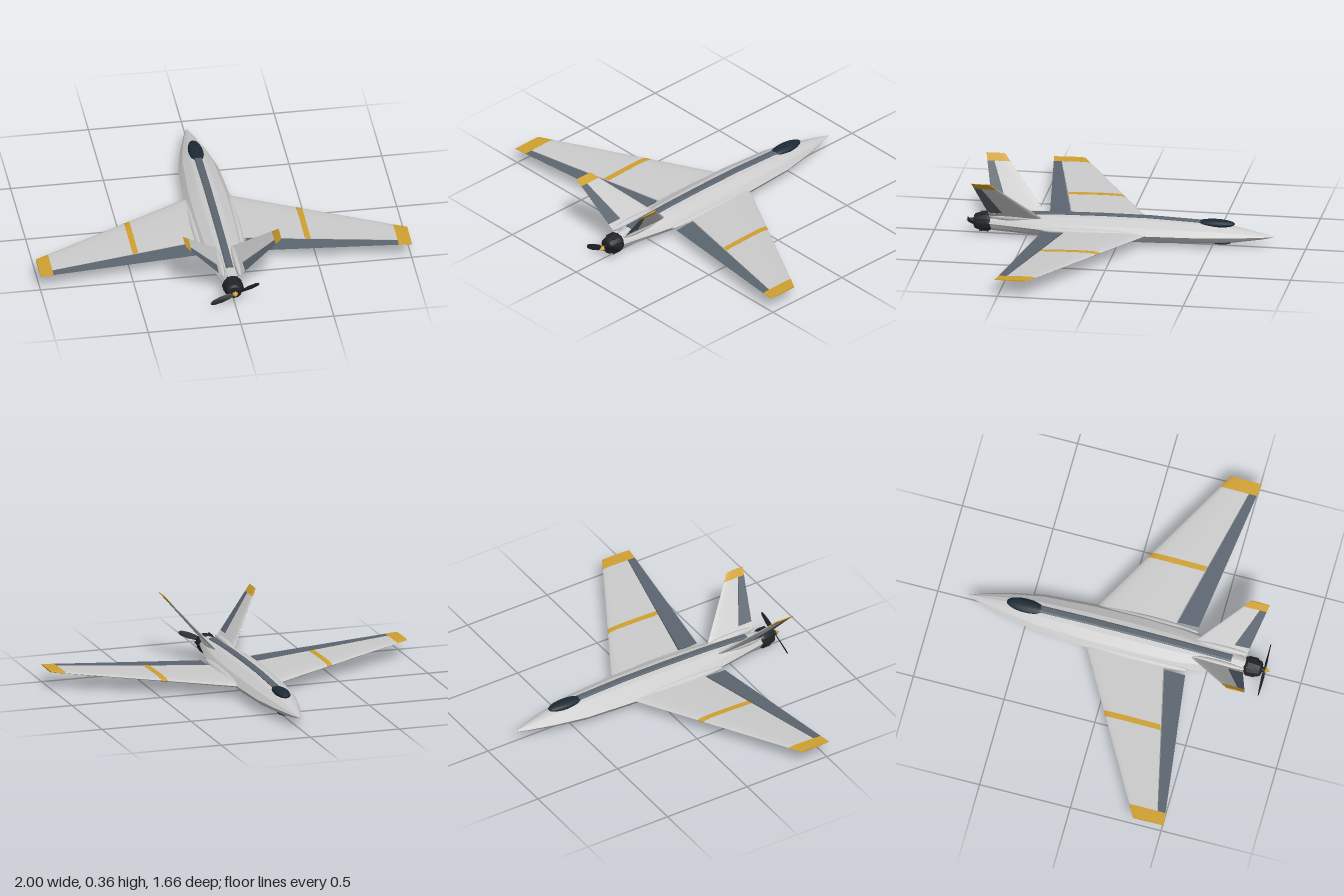
import * as THREE from 'three';
import { toCreasedNormals } from 'three/addons/utils/BufferGeometryUtils.js';

const mat = (color) => new THREE.MeshStandardMaterial({ color });
const GREY = mat(0xcccccc), SLATE = mat(0x5c6670), GOLD = mat(0xd0a030);
const DARK = mat(0x202326), GLASS = mat(0x1c2a36);

// Skin a list of closed rings, cap both ends, and turn all faces outward
function loft(rings, crease = 0.3) {
  const n = rings[0].length, pos = [], tri = (a, b, c) => pos.push([a, b, c]);
  for (let i = 0; i < rings.length - 1; i++) {
    for (let j = 0; j < n; j++) {
      const k = (j + 1) % n, A = rings[i], B = rings[i + 1];
      tri(A[j], A[k], B[k]);
      tri(A[j], B[k], B[j]);
    }
  }
  const cap = (ring, flip) => {
    const c = ring.reduce((s, p) => s.add(p), new THREE.Vector3()).divideScalar(n);
    ring.forEach((p, j) => {
      const q = ring[(j + 1) % n];
      flip ? tri(c, q, p) : tri(c, p, q);
    });
  };
  cap(rings[0], true);
  cap(rings[rings.length - 1], false);
  const volume = pos.reduce((s, [a, b, c]) => s + a.dot(b.clone().cross(c)), 0);
  const flat = pos.flatMap(([a, b, c]) => (volume < 0 ? [a, c, b] : [a, b, c]).flatMap((p) => p.toArray()));
  const geo = new THREE.BufferGeometry();
  geo.setAttribute('position', new THREE.Float32BufferAttribute(flat, 3));
  geo.computeVertexNormals();
  return toCreasedNormals(geo, crease);
}

function add(parent, name, geo, material) {
  const mesh = new THREE.Mesh(geo, material);
  mesh.name = name;
  parent.add(mesh);
  return mesh;
}

function ellipsoid(parent, name, material, size, at, sides = 12) {
  const mesh = add(parent, name, new THREE.SphereGeometry(1, sides, 10).rotateX(Math.PI / 2), material);
  mesh.scale.set(...size);
  mesh.position.set(...at);
  return mesh;
}

// Piece of a tapered surface: span fractions s0..s1, chord fractions c0..c1
function panel(w, side, s0, s1, c0, c1, puff = 0) {
  const lerp = THREE.MathUtils.lerp, N = 8;
  const dx = w.tip.x - w.root.x, dy = w.tip.y - w.root.y, len = Math.hypot(dx, dy);
  const ring = (s) => {
    const g = (key) => lerp(w.root[key], w.tip[key], s);
    const point = (c, up) => {
      const profile = 2.6 * (Math.sqrt(c) - c) * (1 - 0.25 * c) + 0.1 * (1 - c) * Math.sqrt(c) + 0.04;
      const h = up * (g('thick') / 2 * profile + puff);
      return new THREE.Vector3(side * (g('x') - dy / len * h), g('y') + dx / len * h, lerp(g('le'), g('te'), c));
    };
    const cs = Array.from({ length: N + 1 }, (_, i) => lerp(c0, c1, c0 === 0 ? (i / N) ** 1.7 : i / N));
    return [...cs.map((c) => point(c, 1)), ...cs.reverse().map((c) => point(c, -1))];
  };
  return loft([ring(s0), ring(s1)], 0.5);
}

const WING = {
  root: { x: 0.1, y: 0.068, le: -0.16, te: 0.395, thick: 0.042 },
  tip: { x: 1, y: 0.095, le: 0.345, te: 0.515, thick: 0.01 },
};
const TAIL = {
  root: { x: 0.042, y: 0.105, le: 0.4, te: 0.69, thick: 0.02 },
  tip: { x: 0.256, y: 0.363, le: 0.66, te: 0.76, thick: 0.008 },
};

export function createModel() {
  const model = new THREE.Group();
  model.name = 'aircraft';

  // Fuselage stations: z, half width, chine height, top, bottom
  const stations = [
    [-0.83, 0.002, 0.062, 0.064, 0.06], [-0.76, 0.028, 0.063, 0.08, 0.045],
    [-0.62, 0.068, 0.066, 0.108, 0.024], [-0.44, 0.106, 0.069, 0.131, 0.01],
    [-0.16, 0.125, 0.07, 0.141, 0.002], [0.1, 0.128, 0.07, 0.14, 0.002],
    [0.34, 0.118, 0.07, 0.135, 0.007], [0.52, 0.085, 0.07, 0.127, 0.013], [0.71, 0.045, 0.068, 0.113, 0.021],
  ];
  const half = [[1, 0], [0.78, 0.5], [0.38, 0.88], [0, 1], [-0.38, 0.88], [-0.78, 0.5]];
  const section = [...half, ...half.map(([x, y]) => [-x, -y])];
  add(model, 'fuselage', loft(stations.map(([z, w, mid, top, bottom]) => section.map(([x, y]) =>
    new THREE.Vector3(x * w, mid + y * (y > 0 ? top - mid : mid - bottom), z)))), GREY);

  // Dark strip along the back
  const spine = [[-0.44, 0.135], [-0.16, 0.145], [0.1, 0.144], [0.34, 0.139], [0.62, 0.125]];
  add(model, 'spineStrip', loft(spine.map(([z, y]) => [[0.02, -0.02], [0.02, -0.004], [0.012, 0], [-0.012, 0],
    [-0.02, -0.004], [-0.02, -0.02]].map(([x, h]) => new THREE.Vector3(x, y + h, z)))), SLATE);

  ellipsoid(model, 'canopy', GLASS, [0.04, 0.021, 0.105], [0, 0.123, -0.515]);
  ellipsoid(model, 'bellySensor', GLASS, [0.03, 0.012, 0.055], [0, 0.02, -0.545]);

  for (const side of [1, -1]) {
    const label = side > 0 ? 'left' : 'right';
    const wing = new THREE.Group();
    wing.name = label + 'Wing';
    const tipStart = 0.922, flapStart = 0.045;
    add(wing, 'wingRoot', panel(WING, side, 0, flapStart - 0.004, 0, 0.78), GREY);
    add(wing, 'wingSkin', panel(WING, side, flapStart - 0.004, tipStart, 0, 0.775), GREY);
    add(wing, 'flap', panel(WING, side, flapStart, tipStart, 0.787, 1), SLATE);
    add(wing, 'wingTip', panel(WING, side, tipStart, 1, 0, 1, 0.0005), GOLD);
    add(wing, 'wingBand', panel(WING, side, 0.388, 0.422, 0, 0.772, 0.001), GOLD);
    ellipsoid(wing, 'wingFillet', GREY, [0.026, 0.022, 0.29], [side * 0.11, 0.07, 0.12]);
    model.add(wing);

    const tail = new THREE.Group();
    tail.name = label + 'TailFin';
    add(tail, 'finBase', panel(TAIL, side, -0.06, 0.13, 0, 1), GREY);
    add(tail, 'finSkin', panel(TAIL, side, 0.13, 0.865, 0, 0.685), GREY);
    add(tail, 'rudder', panel(TAIL, side, 0.135, 0.865, 0.7, 1), SLATE);
    add(tail, 'finTip', panel(TAIL, side, 0.865, 1, 0, 1, 0.0005), GOLD);
    ellipsoid(tail, 'finFillet', GREY, [0.018, 0.022, 0.15], [side * 0.044, 0.112, 0.55]);
    const hinge = add(tail, 'controlRod', new THREE.BoxGeometry(0.004, 0.004, 0.06), DARK);
    hinge.position.set(side * 0.072, 0.141, 0.565);
    model.add(tail);
  }

  // Engine cowl tapering to the rear
  const engine = new THREE.Group();
  engine.name = 'engine';
  engine.position.set(0, 0.067, 0);
  model.add(engine);
  const cowl = [[0, 0.69], [0.044, 0.69], [0.054, 0.71], [0.052, 0.74], [0.041, 0.778], [0.03, 0.785], [0, 0.785]];
  add(engine, 'cowl', toCreasedNormals(new THREE.LatheGeometry(
    cowl.map(([r, z]) => new THREE.Vector2(r, z)), 12).rotateX(Math.PI / 2), 0.4), DARK);
  for (let i = 0; i < 6; i++) {
    const a = i * Math.PI / 3;
    const fin = add(engine, 'coolingFin', new THREE.BoxGeometry(0.008, 0.006, 0.05), DARK);
    fin.position.set(0.052 * Math.cos(a), 0.052 * Math.sin(a), 0.73);
    fin.rotation.z = a + Math.PI / 2;
  }
  const shaft = add(engine, 'hub', new THREE.CylinderGeometry(0.014, 0.014, 0.03, 12).rotateX(Math.PI / 2), DARK);
  shaft.position.z = 0.793;
  const spinner = add(engine, 'spinner', new THREE.ConeGeometry(0.016, 0.026, 12).rotateX(Math.PI / 2), GOLD);
  spinner.position.z = 0.817;

  // Two twisted propeller blades
  const propeller = new THREE.Group();
  propeller.name = 'propeller';
  propeller.position.z = 0.8;
  propeller.rotation.z = 0.38;
  engine.add(propeller);
  const blade = [[0.005, 0.007, 0.8], [0.04, 0.015, 0.5], [0.085, 0.017, 0.3], [0.125, 0.013, 0.2], [0.14, 0.006, 0.15]];
  for (const turn of [0, Math.PI]) {
    const geo = loft(blade.map(([x, w, twist]) => [[1, 0], [0, 0.0025], [-1, 0], [0, -0.0025]].map(([u, v]) =>
      new THREE.Vector3(x, u * w * Math.cos(twist) - v * Math.sin(twist), u * w * Math.sin(twist) + v * Math.cos(twist)))), 0.5);
    add(propeller, 'blade', geo, DARK).rotation.z = turn;
  }
  return model;
}
